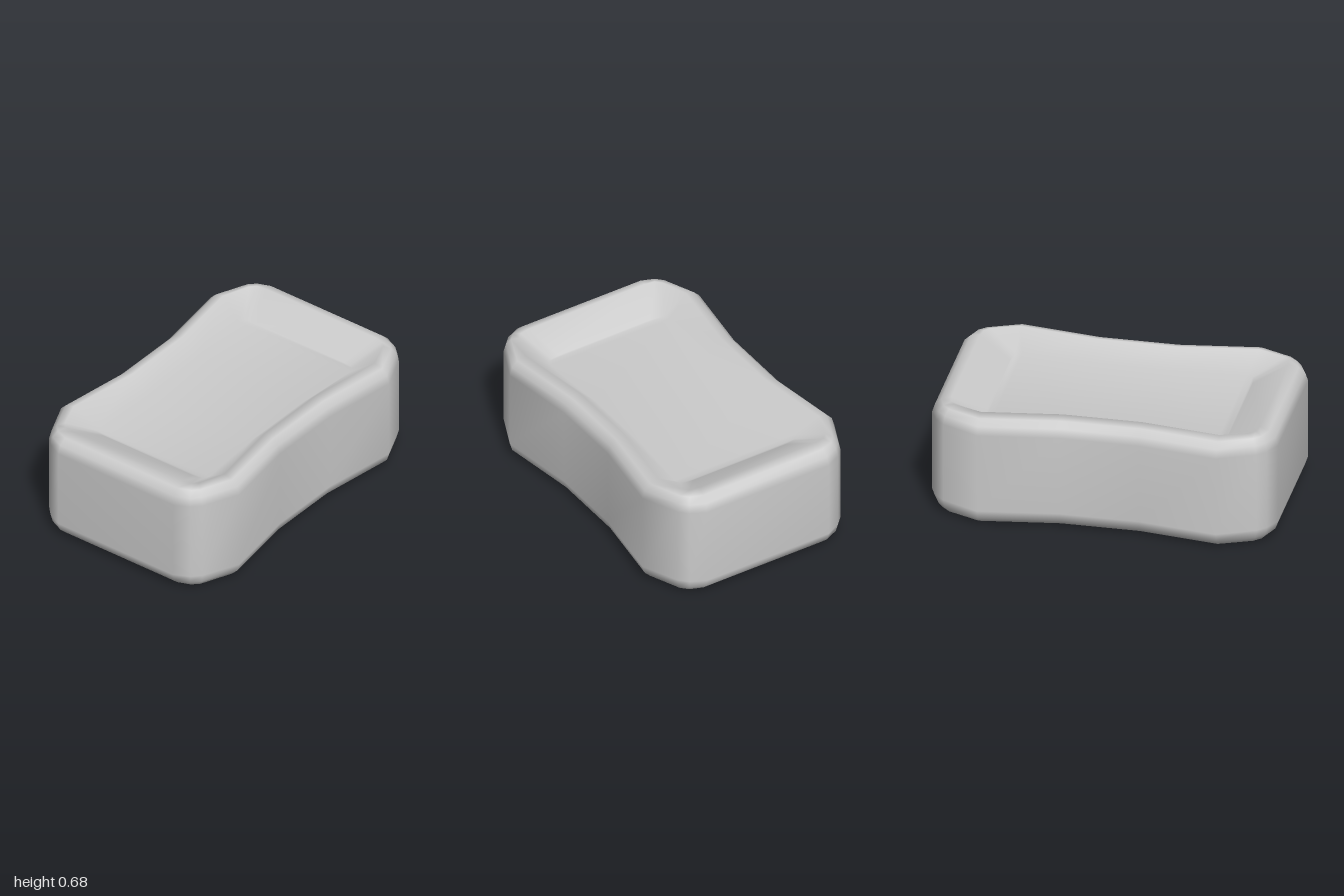
import * as THREE from 'three';

// One quarter of the plan: [outer x, z, rim x, z, floor x, z]
const quarter = [
  [1, 0.41, 0.89, 0.39, 0.7, 0.31],
  [0.955, 0.5, 0.88, 0.45, 0.695, 0.36],
  [0.905, 0.548, 0.85, 0.48, 0.685, 0.385],
  [0.69, 0.645, 0.69, 0.54, 0.65, 0.4],
  [0.23, 0.58, 0.23, 0.475, 0.23, 0.37],
];

// Upper half of the section: [position, height], position 0 = outer, 1 = rim, 2 = floor edge
const section = [
  [2, 0.58],
  [1, 0.68],
  [0.48, 0.665],
  [0.15, 0.63],
  [0, 0.58],
];

// Mirror the quarter into a closed outline running from +x towards +z
function fullOutline() {
  const flip = (list, sx, sz) => list.map((p) => p.map((v, k) => v * (k % 2 ? sz : sx)));
  const back = [...quarter].reverse();
  return [...quarter, ...flip(back, -1, 1), ...flip(quarter, -1, -1), ...flip(back, 1, -1)];
}

// Stack the outline rings from the upper floor, over the rims, to the lower floor
function dishGeometry() {
  const outline = fullOutline();
  const n = outline.length;
  const rings = [...section, ...[...section].reverse().map(([s, y]) => [s, 0.68 - y])];
  const positions = [];
  const index = [];
  for (const [s, y] of rings) {
    const k = s > 1 ? 2 : 0;
    const t = s > 1 ? s - 1 : s;
    for (const p of outline) {
      positions.push(THREE.MathUtils.lerp(p[k], p[k + 2], t), y, THREE.MathUtils.lerp(p[k + 1], p[k + 3], t));
    }
  }
  // Walls and rims
  for (let j = 0; j < rings.length - 1; j++) {
    for (let i = 0; i < n; i++) {
      const a = j * n + i, b = j * n + ((i + 1) % n);
      index.push(a, b, b + n, a, b + n, a + n);
    }
  }
  // Floors: strips running from front to back
  const low = (rings.length - 1) * n;
  for (let i = 0; i < n / 2 - 1; i++) {
    const a = i, b = i + 1, c = n - 2 - i, d = n - 1 - i;
    index.push(a, d, c, a, c, b);
    index.push(low + a, low + c, low + d, low + a, low + b, low + c);
  }
  const geometry = new THREE.BufferGeometry();
  geometry.setAttribute('position', new THREE.Float32BufferAttribute(positions, 3));
  geometry.setIndex(index);
  geometry.computeVertexNormals();
  return geometry;
}

export function createModel() {
  const model = new THREE.Group();
  model.name = 'waistedDish';
  const body = new THREE.Mesh(dishGeometry(), new THREE.MeshStandardMaterial({ color: 0xcccccc }));
  body.name = 'dishBody';
  model.add(body);
  return model;
}
